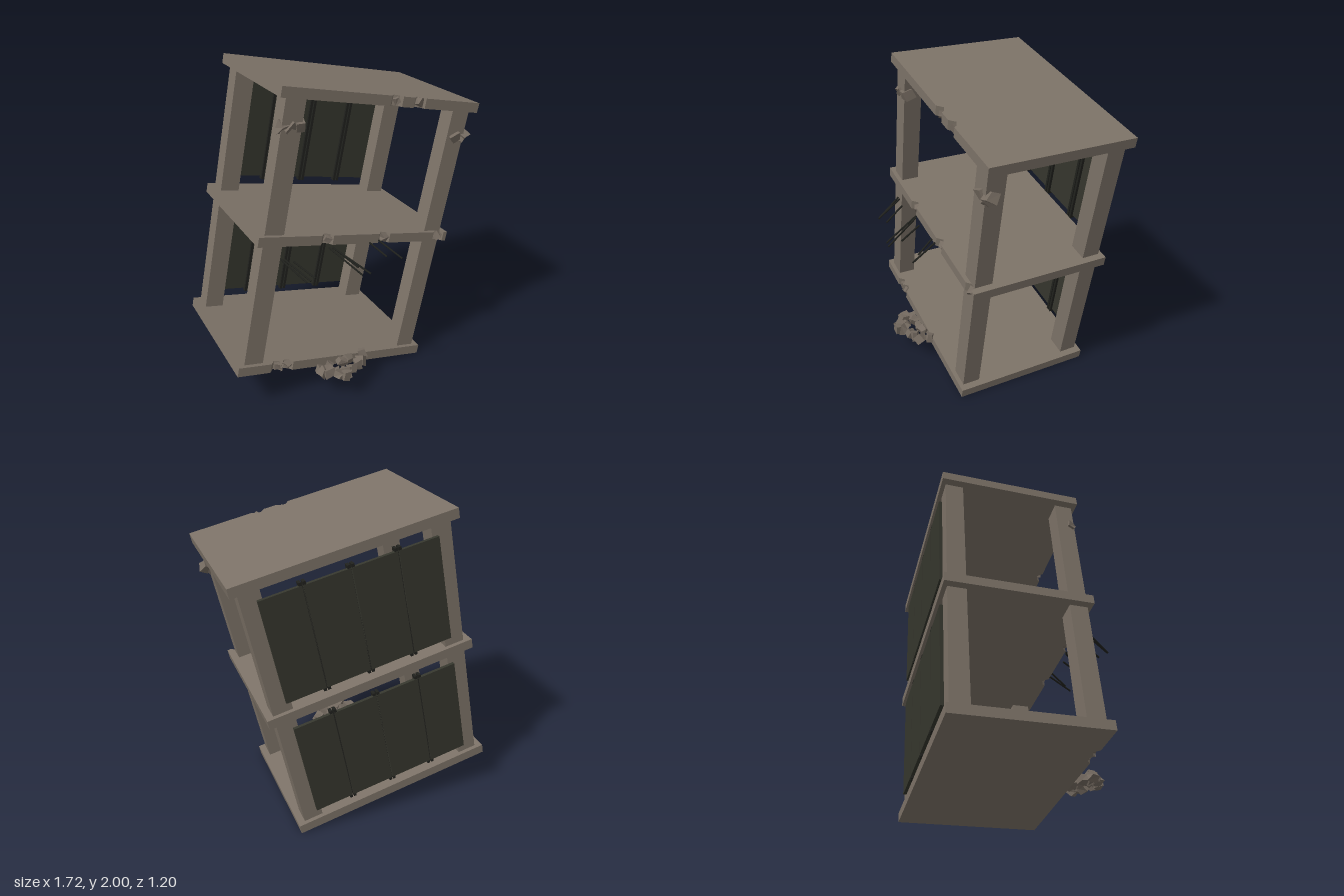
import * as THREE from 'three';

const W = 1.33, D = 0.9, T = 0.061, STOREY = 0.855;

export function createModel() {
  const mat = (name, color) => {
    const m = new THREE.MeshStandardMaterial({ color });
    m.name = name;
    return m;
  };
  const concrete = mat('concrete', 0x7c7267);
  const rubbleGrey = mat('rubble grey', 0x746a60);
  const panelDark = mat('dark panel', 0x35362d);
  const steel = mat('rusty steel', 0x20211d);

  let seed = 7;
  const rnd = () => (seed = (seed * 16807) % 2147483647) / 2147483647;

  const model = new THREE.Group();
  model.name = 'ruinedTower';

  // The whole frame leans to +x and is turned slightly
  const frame = new THREE.Group();
  frame.name = 'leaningFrame';
  frame.rotation.set(0, -0.08, -0.2, 'YXZ');
  frame.position.set(-0.18, 0.132, -0.099);
  model.add(frame);

  const add = (parent, name, geo, material, x, y, z) => {
    const m = new THREE.Mesh(geo, material);
    m.name = name;
    m.position.set(x, y, z);
    parent.add(m);
    return m;
  };
  const box = (name, w, h, d, material, x, y, z) =>
    add(frame, name, new THREE.BoxGeometry(w, h, d), material, x, y, z);

  // Broken lump: a box whose eight corners are pushed about
  const chunk = (parent, name, size, x, y, z) => {
    const geo = new THREE.BoxGeometry(size, size * 0.8, size * 0.9);
    const p = geo.attributes.position, moved = {};
    for (let i = 0; i < p.count; i++) {
      const key = [p.getX(i), p.getY(i), p.getZ(i)].map(Math.sign).join();
      moved[key] ??= [0, 0, 0].map(() => (rnd() - 0.5) * size * 0.35);
      const [a, b, c] = moved[key];
      p.setXYZ(i, p.getX(i) + a, p.getY(i) + b, p.getZ(i) + c);
    }
    const flat = geo.toNonIndexed();
    flat.computeVertexNormals();
    const m = add(parent, name, flat, rubbleGrey, x, y, z);
    m.rotation.set(rnd() * 3, rnd() * 3, rnd() * 3);
  };

  // Floor slab with bites out of its front edge
  const slab = (name, y, bites) => {
    const s = new THREE.Shape();
    s.moveTo(-W / 2, D / 2);
    s.lineTo(-W / 2, -D / 2);
    for (const x of bites) {
      s.lineTo(x - 0.04, -D / 2);
      s.lineTo(x - 0.01, -D / 2 + 0.035);
      s.lineTo(x + 0.025, -D / 2 + 0.02);
      s.lineTo(x + 0.04, -D / 2);
    }
    s.lineTo(W / 2, -D / 2);
    s.lineTo(W / 2, D / 2);
    const geo = new THREE.ExtrudeGeometry(s, { depth: T, bevelEnabled: false });
    geo.rotateX(-Math.PI / 2);
    add(frame, name, geo, concrete, 0, y, 0);
    for (const x of bites) chunk(frame, 'slabChip', 0.045, x + 0.01, y + T * 0.55, D / 2 - 0.022);
  };
  slab('bottomSlab', 0, [-0.41, -0.34]);
  slab('middleSlab', STOREY, [-0.222, 0.179, 0.598]);
  slab('topSlab', STOREY * 2, [0.063, 0.225]);

  // Columns and back wall of each storey
  const clear = STOREY - T;
  for (let i = 0; i < 2; i++) {
    const cy = i * STOREY + T + clear / 2;
    for (const sx of [-1, 1])
      for (const sz of [-1, 1])
        box('column', 0.122, clear, 0.113, concrete, sx * 0.56, cy, sz * 0.367);

    const edges = [-0.535, -0.28, 0, 0.28, 0.535];
    for (let k = 0; k < 4; k++) {
      const w = edges[k + 1] - edges[k] - 0.008;
      box('wallPanel', w, 0.665, 0.02, panelDark, (edges[k] + edges[k + 1]) / 2, cy, -0.437);
    }
    // Split mullions
    for (const x of edges.slice(1, 4))
      for (const s of [-1, 1])
        box('mullion', 0.017, 0.705, 0.034, steel, x + s * 0.0125, cy, -0.428);
  }

  // Broken concrete on the upper front columns
  for (const [x, y] of [[-0.605, 1.545], [-0.56, 1.55], [-0.505, 1.56], [0.56, 1.55], [0.605, 1.54], [0.635, 1.555]])
    chunk(frame, 'columnChip', 0.062, x, y, 0.4);

  // Bent reinforcing bars under the middle floor
  const bars = [
    [-0.555, 0.99, 0.32, -0.49, 0.905, 0.5], [-0.535, 0.985, 0.32, -0.47, 0.915, 0.51],
    [-0.48, 0.96, 0.33, -0.42, 0.9, 0.475], [-0.245, 0.99, 0.34, -0.17, 0.9, 0.59],
    [-0.225, 0.99, 0.35, -0.12, 0.9, 0.6], [-0.185, 0.95, 0.35, -0.14, 0.9, 0.5],
    [0.03, 0.96, 0.37, 0.075, 0.905, 0.49], [0.09, 0.965, 0.38, 0.14, 0.905, 0.56],
  ];
  for (const b of bars) {
    const path = new THREE.LineCurve3(new THREE.Vector3(...b.slice(0, 3)), new THREE.Vector3(...b.slice(3)));
    const geo = new THREE.CylinderGeometry(0.006, 0.006, path.getLength(), 6);
    const c = path.getPoint(0.5);
    const m = add(model, 'reinforcingBar', geo, steel, c.x, c.y, c.z);
    m.quaternion.setFromUnitVectors(new THREE.Vector3(0, 1, 0), path.getTangent(0));
  }

  // Rubble pile by the front edge
  const pile = [
    [-0.34, 0.42], [-0.31, 0.44], [-0.33, 0.37], [-0.27, 0.38], [-0.27, 0.5], [-0.23, 0.52], [-0.21, 0.49],
    [-0.26, 0.45], [-0.18, 0.39], [-0.13, 0.39], [-0.15, 0.47], [-0.1, 0.46], [-0.06, 0.44], [-0.02, 0.39],
  ];
  for (const [x, z] of pile) chunk(model, 'rubble', 0.045 + rnd() * 0.02, x, 0.145 + rnd() * 0.03, z);

  return model;
}
